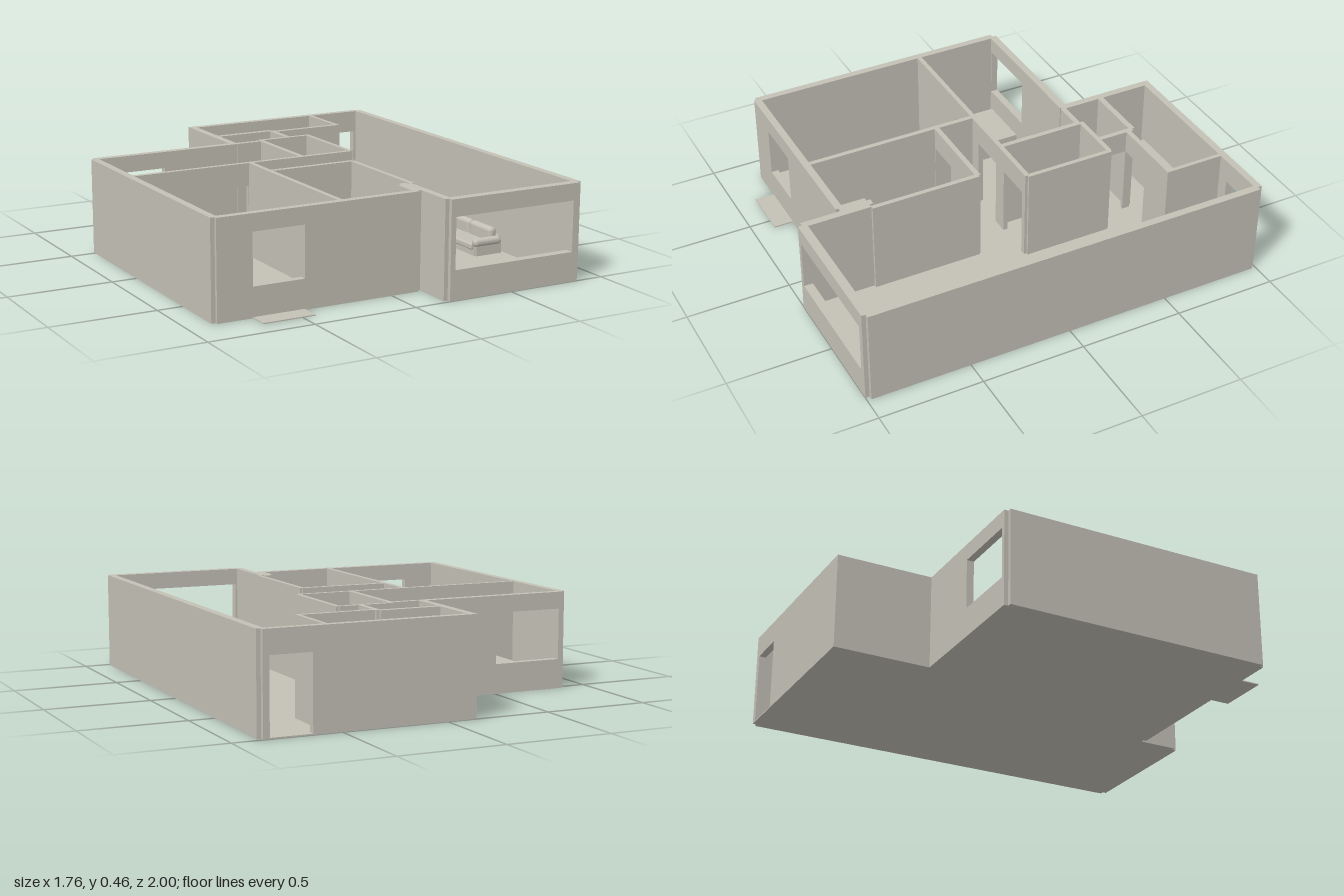
import * as THREE from 'three';
import { mergeGeometries } from 'three/addons/utils/BufferGeometryUtils.js';
import { RoundedBoxGeometry } from 'three/addons/geometries/RoundedBoxGeometry.js';

const WALL_H = 0.46, DOOR_H = 0.35;
const SILL = 0.14, LINTEL = 0.38;

function createModel() {
  const plaster = new THREE.MeshStandardMaterial({ color: 0xc4c0b6 });
  plaster.name = 'warm grey plaster';
  const model = new THREE.Group();
  model.name = 'apartment';

  const group = (name) => {
    const g = new THREE.Group();
    g.name = name;
    model.add(g);
    return g;
  };
  const addMesh = (parent, name, geometry) => {
    const m = new THREE.Mesh(geometry, plaster);
    m.name = name;
    parent.add(m);
    return m;
  };
  // box from its limits on each axis
  const span = (x0, x1, y0, y1, z0, z1) =>
    new THREE.BoxGeometry(x1 - x0, y1 - y0, z1 - z0)
      .translate((x0 + x1) / 2, (y0 + y1) / 2, (z0 + z1) / 2);
  const block = (parent, name, ...limits) => addMesh(parent, name, span(...limits));

  // rounded box from its limits
  const soft = (parent, name, r, x0, x1, y0, y1, z0, z1) =>
    addMesh(parent, name, new RoundedBoxGeometry(x1 - x0, y1 - y0, z1 - z0, 4, r)
      .translate((x0 + x1) / 2, (y0 + y1) / 2, (z0 + z1) / 2));

  // full-height wall; openings are [from, to, bottom, top] along its long axis
  const wall = (parent, name, x0, x1, z0, z1, openings = []) => {
    const alongX = x1 - x0 > z1 - z0;
    const pieces = [];
    const piece = (a, b, y0, y1) => {
      if (b - a < 0.001 || y1 - y0 < 0.001) return;
      pieces.push(alongX ? span(a, b, y0, y1, z0, z1) : span(x0, x1, y0, y1, a, b));
    };
    let at = alongX ? x0 : z0;
    for (const [a, b, y0, y1] of openings) {
      piece(at, a, 0, WALL_H);
      piece(a, b, 0, y0);
      piece(a, b, y1, WALL_H);
      at = b;
    }
    piece(at, alongX ? x1 : z1, 0, WALL_H);
    addMesh(parent, name, mergeGeometries(pieces));
  };
  const door = (a, b) => [a, b, 0, DOOR_H];
  const win = (a, b) => [a, b, SILL, LINTEL];

  // floor slab following the footprint
  const plan = [[-0.14, -1], [0.86, -1], [0.86, -0.98], [0.88, -0.98], [0.88, 0.98], [0.86, 0.98],
    [0.86, 1], [0.175, 1], [0.175, 0.98], [0.155, 0.98], [0.155, 0.785], [0.135, 0.785], [0.135, 0.8],
    [-0.86, 0.8], [-0.86, 0.785], [-0.88, 0.785], [-0.88, -0.51], [-0.86, -0.51], [-0.86, -0.53], [-0.14, -0.53]];
  const outline = new THREE.Shape(plan.map(([x, z]) => new THREE.Vector2(x, -z)));
  const slab = new THREE.ExtrudeGeometry(outline, { depth: 0.006, bevelEnabled: false }).rotateX(-Math.PI / 2);
  addMesh(model, 'floor', slab);
  block(model, 'doorstep', -0.69, -0.44, 0, 0.005, 0.8, 0.895);

  // outer walls, stopping short of each other to leave small corner notches
  const outer = group('outerWalls');
  wall(outer, 'rightWall', 0.843, 0.88, -0.98, 0.98);
  wall(outer, 'backWall', -0.14, 0.86, -1, -0.966, [door(0.635, 0.83)]);
  wall(outer, 'backSideWall', -0.14, -0.105, -1, -0.5);
  wall(outer, 'bedroomBackWall', -0.86, -0.12, -0.53, -0.495, [win(-0.84, -0.505)]);
  wall(outer, 'leftWall', -0.88, -0.845, -0.51, 0.785);
  wall(outer, 'leftFrontWall', -0.86, 0.135, 0.765, 0.8, [win(-0.69, -0.44)]);
  wall(outer, 'livingSideWall', 0.155, 0.19, 0.65, 0.98);
  wall(outer, 'livingFrontWall', 0.175, 0.86, 0.957, 1, [win(0.2, 0.83)]);

  // partitions between the rooms
  const inner = group('innerWalls');
  wall(inner, 'kitchenSideWall', 0.555, 0.575, -0.97, -0.675);
  wall(inner, 'kitchenFrontWall', 0.19, 0.565, -0.7, -0.675, [door(0.205, 0.385)]);
  wall(inner, 'storeBackWall', -0.11, 0.19, -0.728, -0.7);
  wall(inner, 'storeSideWall', 0.18, 0.205, -0.715, -0.53, [door(-0.685, -0.55)]);
  wall(inner, 'storeFrontWall', -0.11, 0.035, -0.52, -0.495);
  wall(inner, 'bathBackWall', 0.03, 0.3, -0.537, -0.515);
  wall(inner, 'bathLeftWall', 0.02, 0.045, -0.52, -0.09);
  wall(inner, 'bathRightWall', 0.29, 0.312, -0.53, -0.09);
  wall(inner, 'hallBackWall', -0.85, 0.3, -0.1, -0.077,
    [door(-0.42, -0.262), door(-0.17, 0.01), door(0.09, 0.272)]);
  wall(inner, 'leftRoomWall', -0.26, -0.236, -0.09, 0.77);
  wall(inner, 'hallFrontWall', -0.24, 0.195, 0.1, 0.125, [door(-0.232, -0.065)]);
  wall(inner, 'frontBedroomWall', 0.182, 0.205, 0.11, 0.65);
  wall(inner, 'cornerPier', 0.115, 0.156, 0.65, 0.785);
  wall(inner, 'pierCap', 0.135, 0.17, 0.63, 0.66);

  // plain furniture
  const furniture = group('furniture');
  block(furniture, 'backBed', -0.745, -0.475, 0, 0.1, -0.45, -0.12);
  block(furniture, 'frontBed', -0.075, 0.145, 0, 0.1, 0.165, 0.49);
  block(furniture, 'kitchenCounter', -0.08, 0.46, 0, 0.15, -0.967, -0.862);
  block(furniture, 'coffeeTable', 0.5, 0.62, 0, 0.06, 0.15, 0.35);

  // sofa: base, two cushions with matching backs, rolled arms
  const sofa = group('sofa');
  block(sofa, 'sofaBase', 0.68, 0.82, 0.006, 0.04, 0.06, 0.44);
  for (const [z0, z1] of [[0.07, 0.249], [0.251, 0.43]]) {
    soft(sofa, 'seatCushion', 0.008, 0.667, 0.79, 0.035, 0.065, z0, z1);
    soft(sofa, 'backCushion', 0.02, 0.772, 0.816, 0.035, 0.13, z0, z1);
  }
  for (const z of [0.061, 0.439]) {
    block(sofa, 'armPanel', 0.685, 0.825, 0.006, 0.07, z - 0.013, z + 0.013);
    soft(sofa, 'armRoll', 0.018, 0.672, 0.826, 0.05, 0.09, z - 0.02, z + 0.02);
  }
  block(sofa, 'sofaBack', 0.81, 0.826, 0.006, 0.09, 0.06, 0.44);

  return model;
}

export { createModel };
